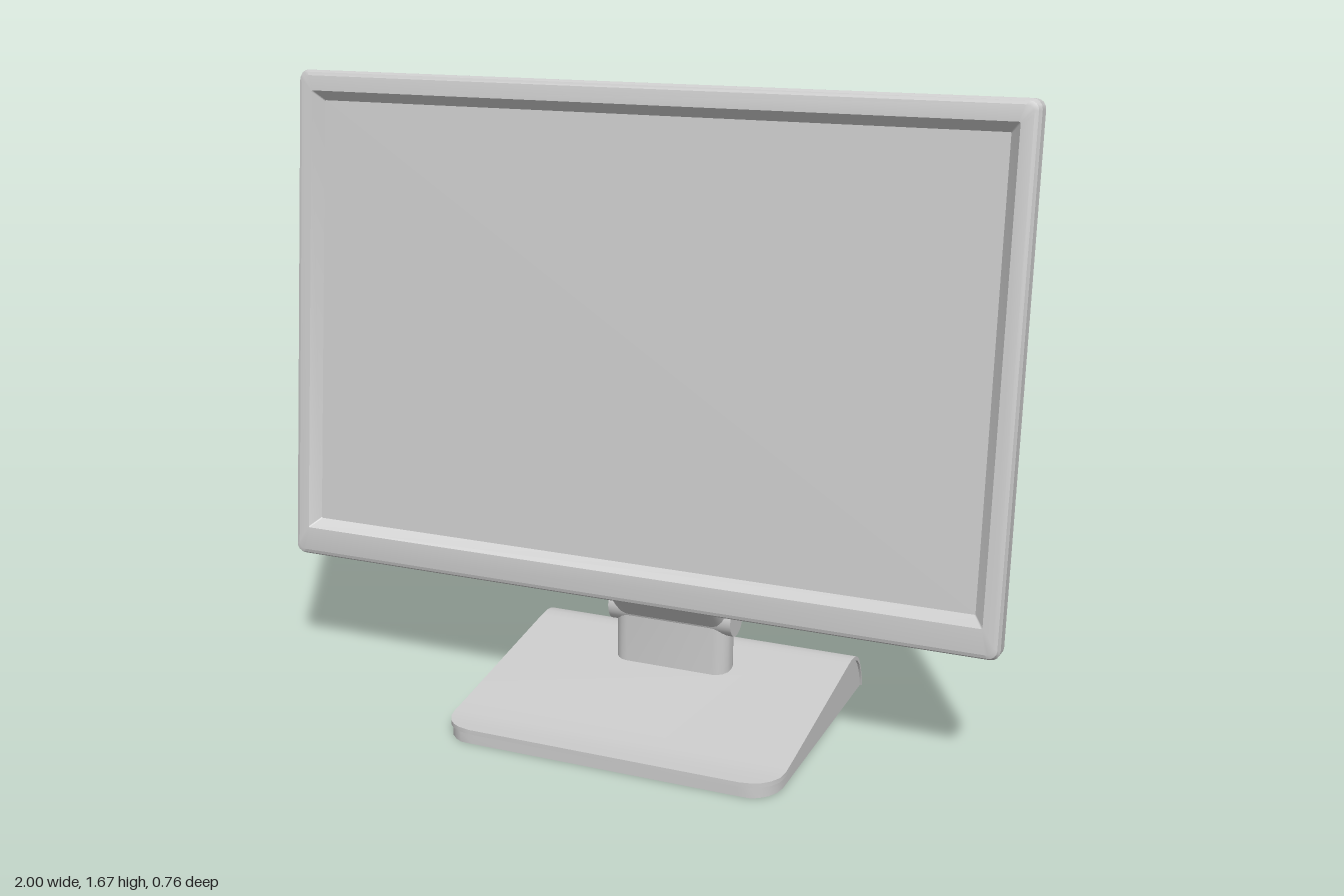
import * as THREE from 'three';
import { toCreasedNormals } from 'three/addons/utils/BufferGeometryUtils.js';

const material = new THREE.MeshStandardMaterial({ color: 0xcccccc });

function addMesh(parent, name, geometry, x = 0, y = 0, z = 0) {
  const mesh = new THREE.Mesh(geometry, material);
  mesh.name = name;
  mesh.position.set(x, y, z);
  parent.add(mesh);
  return mesh;
}

// Skin over equal-length loops (counter-clockwise seen from +z), capped at both ends
function loft(loops, crease = 0.5) {
  const pos = [];
  const tri = (...pts) => pts.forEach((p) => pos.push(p.x, p.y, p.z));
  const n = loops[0].length;
  const middle = (loop) => loop.reduce((s, p) => s.add(p), new THREE.Vector3()).divideScalar(n);
  const first = loops[0], last = loops[loops.length - 1];
  const c0 = middle(first), c1 = middle(last);
  for (let j = 0; j < n; j++) {
    const k = (j + 1) % n;
    for (let i = 0; i < loops.length - 1; i++) {
      const a = loops[i], b = loops[i + 1];
      tri(a[j], a[k], b[k]);
      tri(a[j], b[k], b[j]);
    }
    tri(c0, first[k], first[j]);
    tri(c1, last[j], last[k]);
  }
  const g = new THREE.BufferGeometry();
  g.setAttribute('position', new THREE.Float32BufferAttribute(pos, 3));
  return toCreasedNormals(g, crease);
}

// Rounded rectangle loop centred on x = 0
function rectLoop(w, h, r, z, cy = 0) {
  const loop = [], steps = 4;
  for (let q = 0; q < 4; q++) {
    const sx = q === 0 || q === 3 ? 1 : -1, sy = q < 2 ? 1 : -1;
    for (let i = 0; i <= steps; i++) {
      const a = (q + i / steps) * Math.PI / 2;
      loop.push(new THREE.Vector3(
        sx * (w / 2 - r) + r * Math.cos(a), cy + sy * (h / 2 - r) + r * Math.sin(a), z));
    }
  }
  return loop;
}

// Flat panel pierced by a row of rounded slots
function slottedPanel(w, y0, y1, count, pitch, s0, s1, depth, offset = 0) {
  const shape = new THREE.Shape();
  shape.moveTo(-w / 2, y0).lineTo(w / 2, y0).lineTo(w / 2, y1).lineTo(-w / 2, y1).closePath();
  const r = 0.01;
  for (let i = 0; i < count; i++) {
    const x = (i - (count - 1) / 2) * pitch + offset;
    const hole = new THREE.Path();
    hole.absarc(x, s1 - r, r, 0, Math.PI, false);
    hole.absarc(x, s0 + r, r, Math.PI, 2 * Math.PI, false);
    hole.closePath();
    shape.holes.push(hole);
  }
  return new THREE.ExtrudeGeometry(shape, { depth, bevelEnabled: false, curveSegments: 4 });
}

function buildDisplay() {
  const display = new THREE.Group();
  display.name = 'display';
  const cy = 0.673;

  // Rear shell, seam groove, bezel and recessed screen: [width, height, radius, z, centre y]
  const profile = [
    [1.96, 1.31, 0.02, -0.1, cy], [1.985, 1.332, 0.025, -0.09, cy],
    [1.99, 1.34, 0.025, -0.065, cy], [1.98, 1.328, 0.02, -0.065, cy],
    [1.98, 1.328, 0.02, -0.058, cy], [2, 1.346, 0.025, -0.058, cy],
    [2, 1.346, 0.025, -0.016, cy], [1.988, 1.334, 0.022, -0.004, cy],
    [1.97, 1.316, 0.02, 0, cy], [1.91, 1.212, 0.004, 0, 0.685],
    [1.86, 1.162, 0.003, -0.028, 0.685],
  ];
  addMesh(display, 'displayBody', loft(profile.map((p) => rectLoop(...p)), 0.4));

  // Raised rear plate with a row of vents
  addMesh(display, 'rearPlate',
    slottedPanel(1.86, 0.08, 1.265, 19, 0.0643, 0.19, 0.275, 0.012, 0.02), 0, 0, -0.112);

  // Electronics housing with bevelled back
  const hy = 0.7225, t = 0.015;
  addMesh(display, 'rearHousing', loft([
    rectLoop(1.19, 0.715, 0.004, -0.245, hy), rectLoop(1.37, 0.805, 0.004, -0.222, hy),
    rectLoop(1.37, 0.805, 0.004, -0.215, hy), rectLoop(1.34, 0.775, 0.002, -0.215, hy),
    rectLoop(1.34, 0.775, 0.002, -0.1, hy),
  ], 0.2));

  // Vented walls around the housing
  const wide = slottedPanel(1.37, 0.1, 0.215, 20, 0.0643, 0.13, 0.205, t).rotateX(-Math.PI / 2);
  const tall = slottedPanel(0.805, 0.1, 0.215, 14, 0.0513, 0.13, 0.205, t)
    .rotateX(-Math.PI / 2).rotateZ(Math.PI / 2);
  addMesh(display, 'topVentWall', wide, 0, hy + 0.4025 - t, 0);
  addMesh(display, 'bottomVentWall', wide, 0, hy - 0.4025, 0);
  addMesh(display, 'leftVentWall', tall, 0.685, hy, 0);
  addMesh(display, 'rightVentWall', tall, -0.685 + t, hy, 0);

  display.position.set(0, 0.33, 0.087);
  display.rotation.x = -0.097;
  return display;
}

function buildStand() {
  const stand = new THREE.Group();
  stand.name = 'stand';

  // Wedge foot: height along z, front corners rounded in plan
  const side = [[-0.38, 0.002], [-0.375, 0.03], [-0.363, 0.06], [-0.345, 0.09], [-0.325, 0.108],
    [-0.3, 0.118], [-0.27, 0.121], [-0.24, 0.118], [0.24, 0.049], [0.29, 0.043], [0.32, 0.041],
    [0.345, 0.041], [0.362, 0.041], [0.373, 0.041], [0.38, 0.041]];
  const r = 0.09, lip = 0.012;
  const foot = (inset, range) => loft(side.map(([z, top]) => {
    const d = Math.max(0, z - (0.38 - r));
    const w = 0.46 - r + Math.sqrt(Math.max(0, r * r - d * d)) - inset;
    const [lo, hi] = range(top);
    const zz = Math.min(z, 0.38 - inset);
    return [[-w, lo], [w, lo], [w, hi], [-w, hi]].map(([x, y]) => new THREE.Vector3(x, y, zz));
  }), 0.6);
  addMesh(stand, 'baseBody', foot(0.006, (h) => [0, Math.max(0.001, h - lip)]));
  addMesh(stand, 'baseCover', foot(0, (h) => [Math.max(0, h - lip), h]));

  // Post, hinge barrel and the arm reaching forward to the display
  const bar = (length) => loft([
    rectLoop(0.33, 0.09, 0.04, 0), rectLoop(0.33, 0.09, 0.04, length),
  ], 0.6).rotateX(-Math.PI / 2);
  addMesh(stand, 'post', bar(0.17), 0, 0.08, -0.125);
  const hinge = new THREE.CylinderGeometry(0.05, 0.05, 0.355, 32).rotateZ(Math.PI / 2);
  addMesh(stand, 'hinge', hinge, 0, 0.25, -0.125);
  addMesh(stand, 'arm', bar(0.185), 0, 0.25, -0.125).rotation.x = Math.PI / 4;

  stand.position.x = 0.075;
  return stand;
}

export function createModel() {
  const model = new THREE.Group();
  model.name = 'monitor';
  model.add(buildDisplay(), buildStand());
  return model;
}
